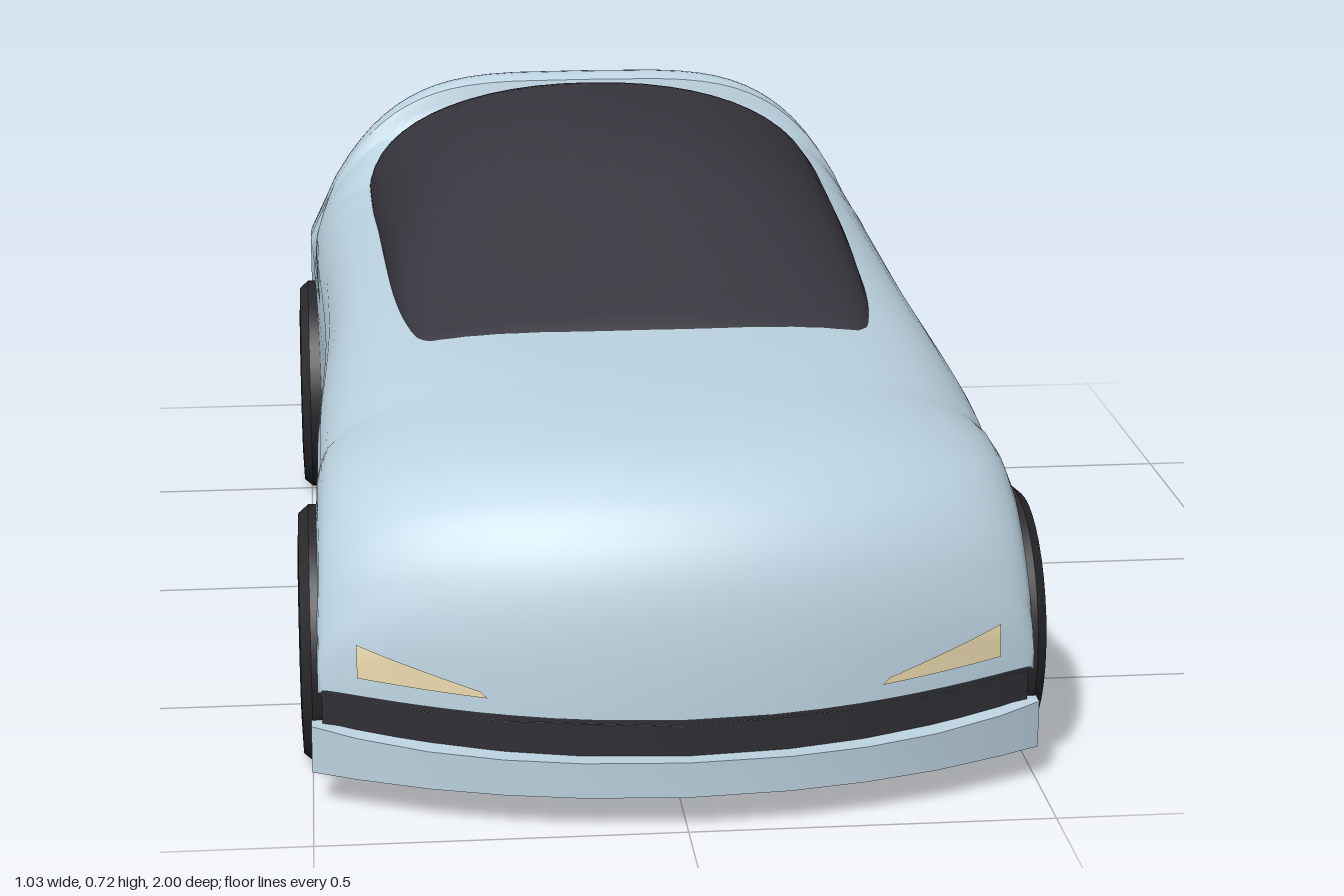
import * as THREE from 'three';
import { toCreasedNormals } from 'three/addons/utils/BufferGeometryUtils.js';

const mat = (name, color, side = THREE.FrontSide) => {
  const m = new THREE.MeshStandardMaterial({ color, side });
  m.name = name;
  return m;
};

// Smooth interpolation without overshoot through rows [z, a, b, ...], z descending
function sampler(rows) {
  const slope = (i, c) => (rows[i + 1][c] - rows[i][c]) / (rows[i + 1][0] - rows[i][0]);
  const tangent = (i, c) => {
    if (i === 0) return slope(0, c);
    if (i === rows.length - 1) return slope(i - 1, c);
    const a = slope(i - 1, c), b = slope(i, c);
    return a * b <= 0 ? 0 : (2 * a * b) / (a + b);
  };
  return (z) => {
    let i = 0;
    while (i < rows.length - 2 && z < rows[i + 1][0]) i++;
    const h = rows[i + 1][0] - rows[i][0], t = (z - rows[i][0]) / h, u = 1 - t;
    return rows[i].map((v, c) => c === 0 ? z :
      v * (1 + 2 * t) * u * u + rows[i + 1][c] * t * t * (3 - 2 * t) +
      h * t * u * (tangent(i, c) * u - tangent(i + 1, c) * t));
  };
}

// Station positions: every row plus even steps between rows
function stations(rows, step) {
  const out = [];
  for (let i = 0; i < rows.length - 1; i++) {
    const a = rows[i][0], b = rows[i + 1][0], n = Math.ceil((a - b) / step);
    for (let k = 0; k < n; k++) out.push(a + ((b - a) * k) / n);
  }
  out.push(rows[rows.length - 1][0]);
  return out;
}

// Skin over cross-sections of [x, y, z] points running from front to back
function loft(sections, crease = 0.6) {
  const m = sections[0].length, index = [];
  for (let j = 0; j < sections.length - 1; j++)
    for (let i = 0; i < m - 1; i++) {
      const a = j * m + i, b = a + m;
      index.push(a, b, a + 1, b, b + 1, a + 1);
    }
  const g = new THREE.BufferGeometry();
  g.setAttribute('position', new THREE.Float32BufferAttribute(sections.flat(2), 3));
  g.setIndex(index);
  return toCreasedNormals(g, crease);
}

// Slab with a shaped plan, rows [z, halfWidth, bottom, top]
const slab = (rows) => loft(rows.map(([z, w, y0, y1]) =>
  [[w, y0, z], [w, y1, z], [-w, y1, z], [-w, y0, z], [w, y0, z]]), 0.5);

// Half arch from the side (w, y0) to the crown (0, y1), mirrored to the other side
function archSection(w, y0, y1, n, steps = 14) {
  const half = [];
  for (let k = 0; k <= steps; k++) {
    const t = (k / steps) * Math.PI / 2;
    half.push([w * Math.pow(Math.max(0, Math.cos(t)), 2 / n) * (k === steps ? 0 : 1),
      y0 + (y1 - y0) * Math.pow(Math.sin(t), 2 / n)]);
  }
  return [...half, ...half.slice(0, -1).reverse().map(([x, y]) => [-x, y])];
}

const WHEEL_Z = [0.68, -0.54], WHEEL_Y = 0.18;
const { smoothstep, lerp } = THREE.MathUtils;
// The nose bows forward and dips along the middle
const bow = (x, z) => z - 0.48 * x * x * smoothstep(z, 0.3, 0.99);
const dip = (x, z) => 0.02 * (1 - (x / 0.49) ** 2) * smoothstep(z, 0.8, 0.98);

// Body: z, crown height, half width, squareness, bottom, shoulder fraction, inward lean
const BODY = [
  [0.992, 0.178, 0.485, 3, 0.17, 0.2, 0.8], [0.987, 0.25, 0.49, 3, 0.166, 0.3, 0.8],
  [0.967, 0.35, 0.49, 2.4, 0.165, 0.3, 0.8], [0.94, 0.405, 0.488, 2.3, 0.164, 0.32, 0.8],
  [0.9, 0.446, 0.487, 2.3, 0.162, 0.34, 0.8], [0.83, 0.48, 0.487, 2.5, 0.157, 0.4, 0.8],
  [0.7, 0.506, 0.487, 2.9, 0.15, 0.45, 0.8], [0.47, 0.526, 0.485, 3.8, 0.147, 0.45, 0.6],
  [0, 0.545, 0.47, 5, 0.155, 0.4, 0.3], [-0.55, 0.552, 0.485, 4.6, 0.18, 0.45, 0.7],
  [-0.66, 0.602, 0.488, 4.2, 0.2, 0.45, 1], [-0.69, 0.63, 0.49, 4.2, 0.205, 0.44, 1.1],
  [-0.702, 0.68, 0.492, 4.2, 0.206, 0.42, 1.1], [-0.725, 0.69, 0.492, 4.2, 0.21, 0.4, 1.1],
  [-0.8, 0.67, 0.484, 3.9, 0.235, 0.4, 1.1], [-0.9, 0.62, 0.448, 3.4, 0.278, 0.4, 1],
  [-0.94, 0.58, 0.415, 3.1, 0.305, 0.4, 0.9], [-0.97, 0.52, 0.37, 3, 0.352, 0.4, 0.8],
  [-0.984, 0.47, 0.325, 3, 0.395, 0.4, 0.7], [-0.989, 0.432, 0.28, 3, 0.43, 0.4, 0.7],
];

// Glass: z, crown height, half width
const GLASS = [
  [0.412, 0.522, 0.29], [0.39, 0.537, 0.335], [0.3, 0.572, 0.352], [0.2, 0.612, 0.362],
  [0.1, 0.652, 0.368], [0, 0.688, 0.372], [-0.12, 0.712, 0.376], [-0.25, 0.719, 0.38],
  [-0.4, 0.715, 0.386], [-0.57, 0.7, 0.388], [-0.68, 0.678, 0.372], [-0.705, 0.672, 0.352],
];

function bodySections() {
  const at = sampler(BODY);
  return stations(BODY, 0.012).map((z) => {
    const [, top, w, n, base, f, lean] = at(z);
    const side = bow(w, z);
    let bottom = base;
    for (const c of WHEEL_Z) {
      const d = 0.177 ** 2 - (side - c) ** 2;
      if (d > 0) bottom = Math.max(bottom, WHEEL_Y + Math.sqrt(d));
    }
    const shoulder = Math.max(bottom, base + f * (top - base));
    const ring = archSection(w, shoulder, top, n);
    for (const k of [0.5, 0]) {
      const y = bottom + k * (shoulder - bottom);
      ring.unshift([w, y]);
      ring.push([-w, y]);
    }
    const place = ([x, y]) => [x * (1 - lean * Math.max(0, y - 0.42)), y - dip(x, z), bow(x, z)];
    const under = [-1, -0.75, -0.5, 0, 0.5, 0.75, 1].map((k) => place([k * w, bottom]));
    return { z, under, shell: [...ring.map(place), ...under.slice(1)] };
  });
}

// Thin plate laid on a surface; corners are [x, y] seen along z
function plate(target, corners, s, dir, lift) {
  const [a, b, c, d] = corners, nu = 16, nv = 4, pos = [], index = [];
  const ray = new THREE.Raycaster();
  let last = dir * 0.9;
  for (let i = 0; i <= nu; i++)
    for (let j = 0; j <= nv; j++) {
      const u = i / nu, v = j / nv;
      const x = s * lerp(lerp(a[0], b[0], u), lerp(d[0], c[0], u), v);
      const y = lerp(lerp(a[1], b[1], u), lerp(d[1], c[1], u), v);
      ray.set(new THREE.Vector3(x, y, dir * 3), new THREE.Vector3(0, 0, -dir));
      const hit = ray.intersectObject(target)[0];
      if (hit && hit.point.z * dir > 0.75) last = hit.point.z;
      pos.push(x + s * lift * 0.5 * u, y, last + dir * lift);
      if (i < nu && j < nv) {
        const p = i * (nv + 1) + j, q = p + nv + 1;
        index.push(p, q, p + 1, q, q + 1, p + 1);
      }
    }
  const g = new THREE.BufferGeometry();
  g.setAttribute('position', new THREE.Float32BufferAttribute(pos, 3));
  g.setIndex(index);
  g.computeVertexNormals();
  return g;
}

export function createModel() {
  const car = new THREE.Group();
  car.name = 'car';
  const paint = mat('pale blue paint', 0xbbd2e0), glass = mat('tinted glass', 0x38363e);
  const trim = mat('black trim', 0x303035), rubber = mat('tyre black', 0x29292c);
  const spokeMat = mat('cyan spokes', 0x78d6e5);
  const lamp = mat('headlight cream', 0xead9ad, THREE.DoubleSide);
  const red = mat('tail light red', 0xec625d, THREE.DoubleSide);
  const frame = mat('light surround', 0x2d2b30, THREE.DoubleSide);
  const add = (name, geometry, material, parent = car) => {
    const m = new THREE.Mesh(geometry, material);
    m.name = name;
    parent.add(m);
    return m;
  };

  // Painted shell, with dark wheel wells just below its underside
  const sections = bodySections();
  const shell = add('bodyShell', loft(sections.map((s) => s.shell)), paint);
  add('wheelWells', loft(sections.filter((s) => s.z < 0.97 && s.z > -0.88)
    .map((s) => s.under.map(([x, y, z]) => [x * 0.995, y - 0.002, z]))), trim);

  // Glass canopy
  const glassAt = sampler(GLASS);
  add('glassCanopy', loft(stations(GLASS, 0.03).map((z) => {
    const [, top, w] = glassAt(z);
    return archSection(w, 0.505, top, 2.15).map(([x, y]) => [x, y, z]);
  })), glass);

  // Dark chassis: floor and the band between body and bumpers
  add('chassis', slab([
    [0.978, 0, 0.047, 0.16], [0.967, 0.14, 0.047, 0.162], [0.947, 0.24, 0.047, 0.168],
    [0.917, 0.34, 0.047, 0.175], [0.88, 0.44, 0.047, 0.18], [0.86, 0.485, 0.047, 0.18],
    [0.85, 0.485, 0.047, 0.18], [0.85, 0.37, 0.047, 0.34], [0.49, 0.37, 0.047, 0.34],
    [0.49, 0.464, 0.047, 0.2], [-0.36, 0.464, 0.047, 0.2], [-0.36, 0.37, 0.047, 0.34],
    [-0.72, 0.37, 0.06, 0.34], [-0.72, 0.478, 0.065, 0.24], [-0.8, 0.468, 0.085, 0.26],
    [-0.9, 0.43, 0.116, 0.29], [-0.945, 0.385, 0.138, 0.3], [-0.955, 0.34, 0.143, 0.3],
    [-0.96, 0, 0.146, 0.3],
  ]), trim);

  // Painted bumpers and side sills
  add('frontBumper', slab([
    [1, 0, 0.05, 0.1], [0.99, 0.14, 0.05, 0.1], [0.97, 0.245, 0.05, 0.101],
    [0.94, 0.345, 0.05, 0.104], [0.9, 0.44, 0.05, 0.11], [0.87, 0.5, 0.05, 0.117],
    [0.84, 0.5, 0.05, 0.117], [0.84, 0, 0.05, 0.117],
  ]), paint);
  add('sideSills', slab([
    [0.485, 0, 0.05, 0.102], [0.485, 0.474, 0.05, 0.102], [0, 0.469, 0.05, 0.112],
    [-0.36, 0.476, 0.05, 0.122], [-0.36, 0, 0.05, 0.122],
  ]), paint);
  add('rearBumper', slab([
    [-0.74, 0, 0.075, 0.196], [-0.74, 0.486, 0.075, 0.196], [-0.8, 0.478, 0.092, 0.214],
    [-0.9, 0.445, 0.122, 0.242], [-0.945, 0.41, 0.14, 0.252], [-0.974, 0.37, 0.15, 0.256],
    [-0.99, 0.2, 0.157, 0.258], [-1, 0, 0.159, 0.258],
  ]), paint);

  // Lights follow the body surface
  for (const s of [1, -1]) {
    const side = s > 0 ? 'left' : 'right';
    add(side + 'Headlight', plate(shell, [[0.265, 0.186], [0.435, 0.198], [0.435, 0.243], [0.275, 0.195]], s, 1, 0.004), lamp);
    add(side + 'TailLightSurround', plate(shell, [[0.195, 0.35], [0.437, 0.352], [0.437, 0.41], [0.195, 0.404]], s, -1, 0.004), frame);
    add(side + 'TailLight', plate(shell, [[0.205, 0.359], [0.43, 0.362], [0.43, 0.401], [0.205, 0.395]], s, -1, 0.008), red);
  }

  // Wheels: tyre, spokes and hub, built along y and turned outward
  const lathe = (pts, n) => toCreasedNormals(new THREE.LatheGeometry(pts.map(([r, h]) => new THREE.Vector2(r, h)), n), 0.5);
  const tyre = lathe([[0, 0], [0.166, 0], [0.18, 0.014], [0.18, 0.114], [0.168, 0.128],
    [0.126, 0.13], [0.12, 0.116], [0, 0.116]], 40);
  const hub = lathe([[0.056, 0.114], [0.052, 0.122], [0.03, 0.126], [0, 0.126]], 24);
  const wedge = new THREE.Shape([[-0.005, 0.056], [0.005, 0.056], [0.0135, 0.12], [-0.0135, 0.12]]
    .map(([x, y]) => new THREE.Vector2(x, y)));
  const spoke = new THREE.ExtrudeGeometry(wedge, { depth: 0.006, bevelEnabled: false });
  spoke.rotateX(-Math.PI / 2).translate(0, 0.114, 0);
  WHEEL_Z.forEach((z, k) => {
    for (const s of [1, -1]) {
      const wheel = new THREE.Group();
      wheel.name = (k ? 'rear' : 'front') + (s > 0 ? 'Left' : 'Right') + 'Wheel';
      add('tyre', tyre, rubber, wheel);
      add('hub', hub, trim, wheel);
      for (let i = 0; i < 18; i++)
        add('spoke', spoke, spokeMat, wheel).rotation.y = (i / 18) * Math.PI * 2;
      wheel.position.set(s * 0.384, WHEEL_Y, z);
      wheel.rotation.z = -s * Math.PI / 2;
      car.add(wheel);
    }
  });
  return car;
}
